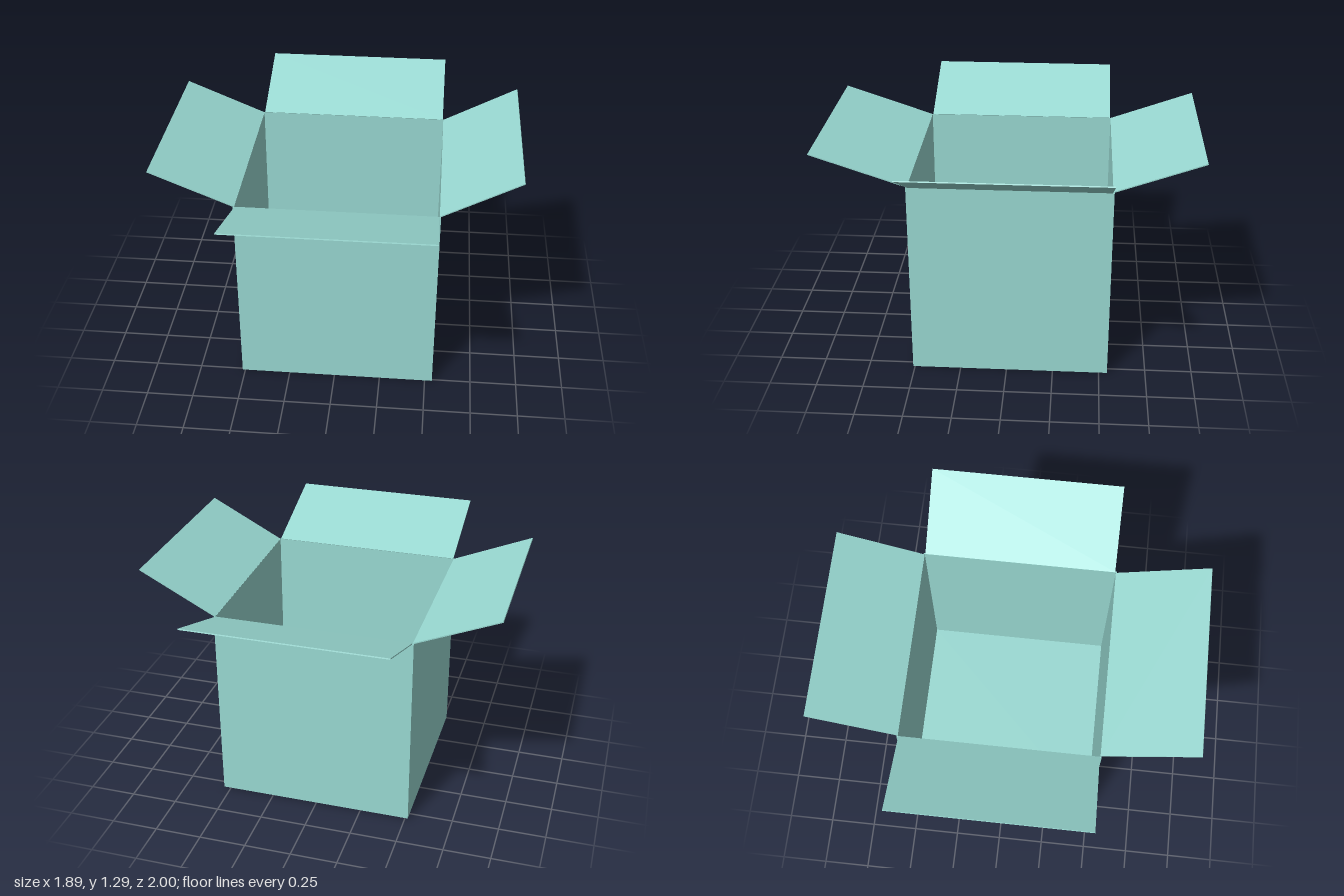
import * as THREE from 'three';

const X0 = -0.515, X1 = 0.54, Z0 = -0.545, Z1 = 0.51; // outer footprint
const H = 1.07, T = 0.006;                            // height, card thickness

const card = new THREE.MeshStandardMaterial({ color: 0x99d9d2, flatShading: true });

function addMesh(group, name, geometry) {
  const mesh = new THREE.Mesh(geometry, card);
  mesh.name = name;
  group.add(mesh);
  return mesh;
}

// Closed rectangle in plan, inset by d (plan y is -z)
function rectangle(PathType, d) {
  return new PathType([
    [X0 + d, -Z1 + d], [X1 - d, -Z1 + d], [X1 - d, -Z0 - d], [X0 + d, -Z0 - d],
  ].map(([x, y]) => new THREE.Vector2(x, y)));
}

// Thin panel leaning outwards from its hinge; hinge and tip are [distance, height]
function addFlap(group, name, turn, hinge, tip, width, middle) {
  const dx = tip[0] - hinge[0], dy = tip[1] - hinge[1];
  const length = Math.hypot(dx, dy);
  const geometry = new THREE.BoxGeometry(length, T, width);
  geometry.translate(length / 2, 0, 0);
  geometry.rotateZ(Math.atan2(dy, dx));
  geometry.translate(hinge[0], hinge[1], 0);
  geometry.rotateY(turn);
  const flap = addMesh(group, name, geometry);
  flap.position.set(middle[0], 0, middle[1]);
}

export function createModel() {
  const box = new THREE.Group();
  box.name = 'openBox';

  // Four walls as one hollow sleeve
  const outline = rectangle(THREE.Shape, 0);
  outline.holes.push(rectangle(THREE.Path, T));
  const walls = new THREE.ExtrudeGeometry(outline, { depth: H, bevelEnabled: false });
  addMesh(box, 'walls', walls.rotateX(-Math.PI / 2));

  // Floor
  const floor = new THREE.ExtrudeGeometry(rectangle(THREE.Shape, T), { depth: T, bevelEnabled: false });
  addMesh(box, 'floor', floor.rotateX(-Math.PI / 2));

  // Four open flaps
  const cx = (X0 + X1) / 2, cz = (Z0 + Z1) / 2;
  const q = Math.PI / 2, w = 1.036;
  addFlap(box, 'leftFlap', 0, [0.535, H], [0.94, 1.284], w, [0, cz]);
  addFlap(box, 'rightFlap', 2 * q, [0.51, H], [0.944, 1.252], w, [0, cz]);
  addFlap(box, 'frontFlap', -q, [0.505, H], [0.999, 1.235], w, [cx, 0]);
  addFlap(box, 'backFlap', q, [0.54, H], [0.999, 1.235], w, [cx, 0]);

  return box;
}
